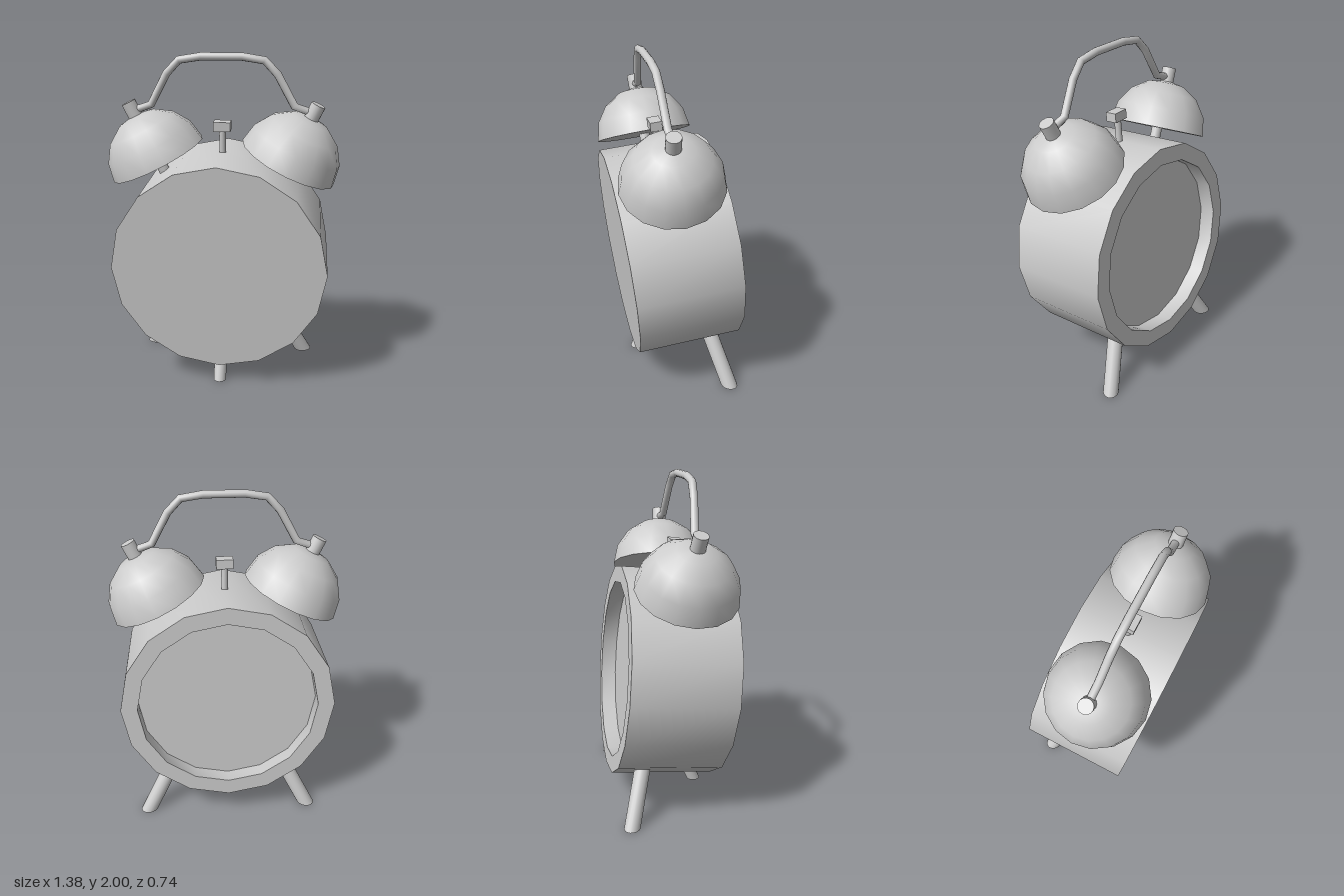
import * as THREE from 'three';
import { toCreasedNormals } from 'three/addons/utils/BufferGeometryUtils.js';

const material = new THREE.MeshStandardMaterial({ color: 0xcccccc });

function add(parent, name, geometry, x = 0, y = 0, z = 0) {
  const mesh = new THREE.Mesh(geometry, material);
  mesh.name = name;
  mesh.position.set(x, y, z);
  parent.add(mesh);
  return mesh;
}

// Faceted turned part with sharp rims
function turned(points, sides = 16) {
  const profile = points.map(([r, y]) => new THREE.Vector2(r, y));
  return toCreasedNormals(new THREE.LatheGeometry(profile, sides), 0.6);
}

// Slanted round leg whose lower end is cut flat at the ground
function legGeometry(foot, top, radius) {
  const axis = top.clone().sub(foot);
  const length = axis.length();
  axis.normalize();
  const geometry = new THREE.CylinderGeometry(radius, radius, length, 16);
  geometry.translate(0, length / 2, 0);
  const isFoot = Array.from({ length: geometry.attributes.position.count },
    (_, i) => geometry.attributes.position.getY(i) < length / 2);
  geometry.applyQuaternion(new THREE.Quaternion().setFromUnitVectors(new THREE.Vector3(0, 1, 0), axis));
  geometry.translate(foot.x, foot.y, foot.z);
  const position = geometry.attributes.position;
  const v = new THREE.Vector3();
  for (let i = 0; i < position.count; i++) {
    if (!isFoot[i]) continue;
    v.fromBufferAttribute(position, i);
    v.addScaledVector(axis, -v.y / axis.y);
    position.setXYZ(i, v.x, v.y, v.z);
  }
  return toCreasedNormals(geometry, 0.7);
}

// Straight segments joined at the given points
class Polyline extends THREE.Curve {
  constructor(points) {
    super();
    this.points = points;
  }
  getPoint(t, target = new THREE.Vector3()) {
    const u = t * (this.points.length - 1);
    const i = Math.min(Math.floor(u), this.points.length - 2);
    return target.lerpVectors(this.points[i], this.points[i + 1], u - i);
  }
  getPointAt(t, target) { return this.getPoint(t, target); }
  getTangentAt(t, target) { return this.getTangent(t, target); }
}

export function createModel() {
  const model = new THREE.Group();
  model.name = 'alarmClock';

  // Everything above the legs leans together
  const clock = new THREE.Group();
  clock.name = 'clock';
  clock.position.y = 0.785;
  clock.rotation.x = 0.096;
  model.add(clock);

  // Drum with a recess in the back
  const half = 0.312, floor = -half + 0.095;
  const drum = turned([[0, floor], [0.54, floor], [0.54, -half], [0.64, -half], [0.64, half], [0, half]]);
  drum.rotateX(Math.PI / 2);
  add(clock, 'body', drum);

  // Bells on their posts
  const R = 0.3;
  const dome = [[0, 0]];
  for (let i = 0; i <= 4; i++) {
    const a = (i * Math.PI) / 8;
    dome.push([i === 4 ? 0 : R * Math.cos(a), R * Math.sin(a)]);
  }
  for (const s of [1, -1]) {
    const bell = new THREE.Group();
    bell.name = s > 0 ? 'leftBell' : 'rightBell';
    bell.position.set(s * 0.39, 0.588, 0);
    bell.rotation.z = -s * 0.447;
    clock.add(bell);
    add(bell, 'bellDome', turned(dome));
    add(bell, 'bellPost', new THREE.CylinderGeometry(0.033, 0.033, 0.24, 16), 0, -0.1, 0);
    add(bell, 'bellKnob', new THREE.CylinderGeometry(0.043, 0.043, 0.12, 16), 0, 0.32, 0);
  }

  // Carrying handle between the knobs
  const side = [[0.53, 0.88], [0.418, 0.92], [0.32, 1.1], [0.245, 1.178], [0.118, 1.198]];
  const path = [
    ...side.map(([x, y]) => new THREE.Vector3(-x, y, 0)),
    ...side.map(([x, y]) => new THREE.Vector3(x, y, 0)).reverse(),
  ];
  add(clock, 'handle', new THREE.TubeGeometry(new Polyline(path), path.length - 1, 0.023, 12));

  // Stop button
  add(clock, 'buttonStem', new THREE.CylinderGeometry(0.02, 0.02, 0.18, 16), 0, 0.69, -0.012);
  add(clock, 'button', new THREE.BoxGeometry(0.1, 0.055, 0.07), 0, 0.797, -0.006);

  // Three legs
  for (const s of [1, -1]) {
    add(model, s > 0 ? 'leftBackLeg' : 'rightBackLeg', legGeometry(
      new THREE.Vector3(s * 0.512, 0, -0.287), new THREE.Vector3(s * 0.296, 0.4, -0.165), 0.048));
  }
  add(model, 'frontLeg', legGeometry(
    new THREE.Vector3(0, 0, 0.205), new THREE.Vector3(0, 0.26, 0.096), 0.039));

  return model;
}
